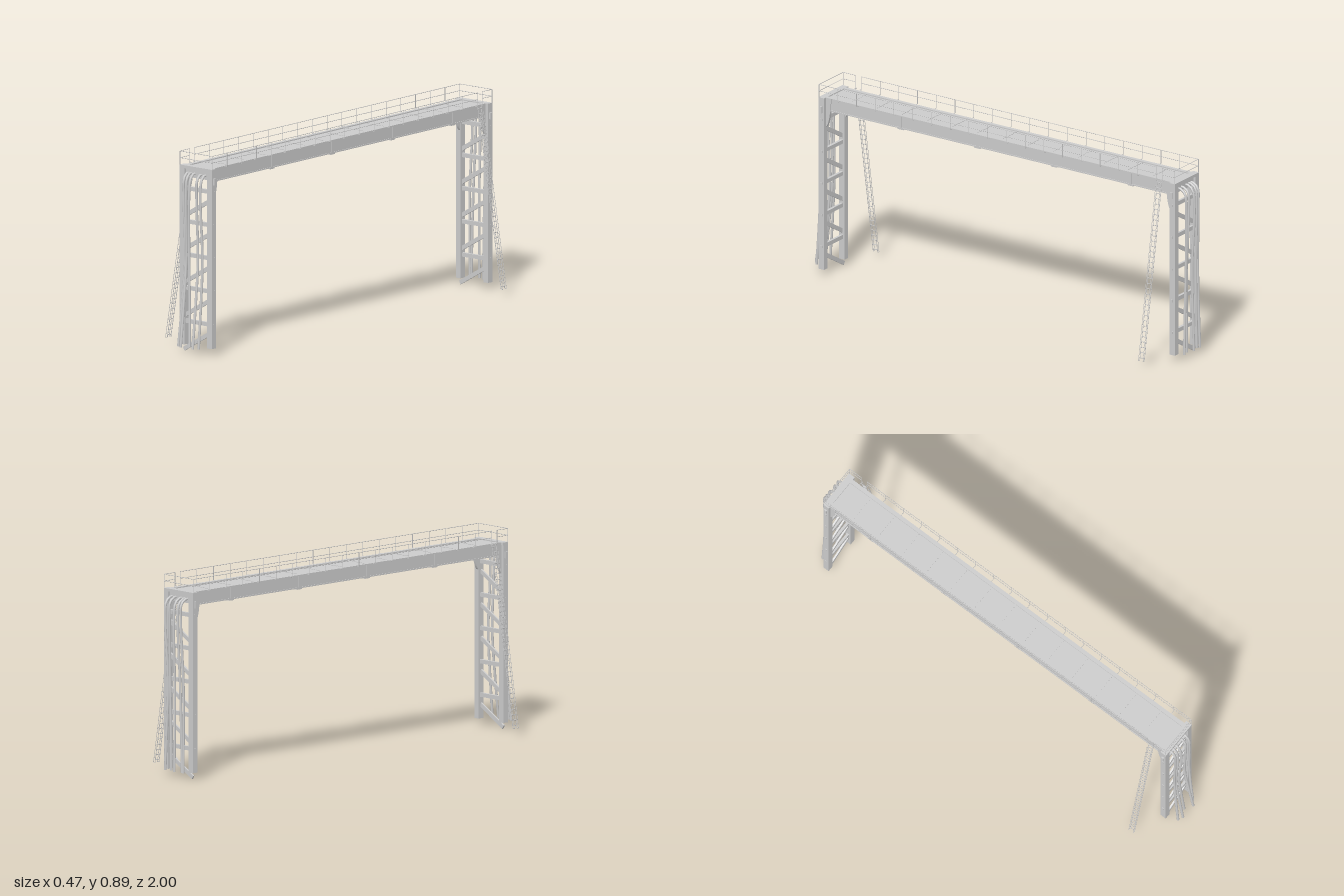
import * as THREE from 'three';

const MAT = new THREE.MeshStandardMaterial({ color: 0xcccccc, side: THREE.DoubleSide });
const C = -0.0125;   // middle of the span in z
const HALF = 0.949;  // half length of the span
const V = (x, y, z) => new THREE.Vector3(x, y, z);

function add(parent, name, geo) {
  const m = new THREE.Mesh(geo, MAT);
  m.name = name;
  parent.add(m);
  return m;
}
function box(parent, name, w, h, d, x, y, z) {
  const m = add(parent, name, new THREE.BoxGeometry(w, h, d));
  m.position.set(x, y, z);
  return m;
}
// round bar between two points
function bar(parent, name, a, b, r, sides = 6) {
  const dir = b.clone().sub(a);
  const m = add(parent, name, new THREE.CylinderGeometry(r, r, dir.length(), sides));
  m.position.copy(a).add(b).multiplyScalar(0.5);
  m.quaternion.setFromUnitVectors(V(0, 1, 0), dir.normalize());
  return m;
}
function group(parent, name) {
  const g = new THREE.Group();
  g.name = name;
  parent.add(g);
  return g;
}

// girders, deck, cross beams and cables under the deck
function buildSpan(root) {
  const span = group(root, 'span');
  const len = HALF * 2 - 0.05;
  for (const sx of [-1, 1]) {
    box(span, 'girderWeb', 0.006, 0.058, len, sx * 0.072, 0.8, C);
    box(span, 'girderTopFlange', 0.018, 0.005, len, sx * 0.069, 0.8275, C);
    box(span, 'girderBottomFlange', 0.018, 0.005, len, sx * 0.069, 0.7725, C);
    for (let i = 0; i < 4; i++) {
      const z = 0.51 - i * 0.408;
      box(span, 'splicePlate', 0.004, 0.05, 0.008, sx * 0.076, 0.8, z);
      box(span, 'spliceFoot', 0.018, 0.005, 0.03, sx * 0.069, 0.768, z);
    }
  }
  box(span, 'deck', 0.134, 0.006, len, 0, 0.822, C);
  for (let i = 0; i < 13; i++) {
    const z = 0.79 - i * 0.134;
    box(span, 'crossBeam', 0.138, 0.036, 0.006, 0, 0.801, z);
    for (let k = -2; k <= 2; k++) box(span, 'deckSeam', 0.018, 0.002, 0.005, k * 0.026, 0.826, z);
    for (let k = 1; k <= 3; k++) box(span, 'trayBar', 0.09, 0.004, 0.005, 0, 0.788, z + k * 0.0335);
  }
  for (const x of [-0.045, -0.018, 0.018, 0.045])
    bar(span, 'deckCable', V(x, 0.796, C - HALF + 0.02), V(x, 0.796, C + HALF - 0.02), 0.005);
}

// portal leg frame at one end; s = 1 front, -1 back
function buildPortal(root, s) {
  const g = group(root, s > 0 ? 'frontPortal' : 'backPortal');
  const Z = d => C + s * d;
  const zc = Z(HALF - 0.0145);
  const gusset = new THREE.Shape();
  gusset.moveTo(0, 0.83);
  gusset.lineTo(0.03, 0.83);
  gusset.lineTo(0.024, 0.77);
  gusset.quadraticCurveTo(0.018, 0.71, 0, 0.69);
  for (const sx of [-1, 1]) {
    box(g, 'column', 0.027, 0.8, 0.029, sx * 0.0785, 0.43, zc);
    const k = add(g, 'kneeGusset', new THREE.ExtrudeGeometry(gusset, { depth: 0.012, bevelEnabled: false }));
    k.rotation.y = s > 0 ? Math.PI / 2 : -Math.PI / 2;
    k.position.set(sx * 0.073 - s * 0.006, 0, Z(HALF - 0.028));
    for (let i = 0; i < 5; i++)
      box(g, 'columnBolt', 0.003, 0.01, 0.01, sx * 0.0925, 0.135 + i * 0.148, zc);
    box(g, 'columnEar', 0.008, 0.03, 0.012, sx * 0.0945, 0.775, zc);
  }
  // head frame with a recessed panel
  box(g, 'headBeam', 0.184, 0.013, 0.03, 0, 0.8235, zc);
  box(g, 'headPanel', 0.13, 0.04, 0.008, 0, 0.798, zc);
  for (let i = 0; i < 5; i++) {
    const y = 0.148 * i;
    box(g, 'rung', 0.14, 0.018, 0.012, 0, 0.135 + y, zc);
    const d = box(g, 'diagonalBrace', 0.166, 0.018, 0.008, -0.0065, 0.0502 + y, zc);
    d.rotation.z = Math.atan(0.583);
  }
}

// loose cables hanging down the outside of a portal
function buildCables(root, s) {
  const g = group(root, s > 0 ? 'frontCables' : 'backCables');
  const Z = d => C + s * d;
  // top x, middle x, bottom x, bottom reach
  const runs = s > 0
    ? [[-0.052, -0.048, -0.062, 0.045], [-0.036, -0.04, -0.04, 0.055], [-0.016, -0.022, -0.006, 0.035],
       [0.022, 0.024, 0.03, 0.057], [0.046, 0.052, 0.05, 0.04]]
    : [[-0.046, -0.054, -0.06, 0.028], [-0.03, -0.036, -0.046, 0.022], [-0.008, -0.004, -0.008, 0.032],
       [0.026, 0.03, 0.026, 0.018], [0.05, 0.04, 0.056, 0.026]];
  runs.forEach(([xt, xm, xb, reach], i) => {
    const out = s > 0 ? 0.018 : 0.026;
    const mid = out + (i % 3) * 0.003;
    const path = new THREE.CatmullRomCurve3([
      V(xt, 0.794, Z(HALF - 0.04)), V(xt, 0.796, Z(HALF)), V(xt, 0.775, Z(HALF + out)),
      V(xt, 0.7, Z(HALF + mid + 0.003)), V(xm, 0.42, Z(HALF + mid * 0.8)),
      V((xm + xb) / 2, 0.22, Z(HALF + (mid + reach) / 2 - 0.004)), V(xb, 0.03, Z(HALF + reach))]);
    add(g, 'cable', new THREE.TubeGeometry(path, 40, 0.0058, 8, false));
  });
}

// sloping ladder at one side; front one on -x, back one on +x
function buildLadder(root, s) {
  const g = group(root, s > 0 ? 'frontLadder' : 'backLadder');
  const z = C + s * 0.866;
  const at = (t, off, dz) => V(-s * (0.092 + 0.135 * t + off), 0.83 - 0.8 * t, z + dz);
  for (const dz of [-0.012, 0.012]) {
    bar(g, 'stringer', at(0, -0.004, dz), at(1, -0.004, dz), 0.0016);
    bar(g, 'handrail', at(0.03, 0.006, dz), at(1, 0.006, dz), 0.0012);
    for (let i = 0; i <= 10; i++)
      bar(g, 'spacer', at(i / 10, -0.004, dz), at(i / 10, 0.006, dz), 0.0012);
  }
  for (let i = 0; i < 34; i++) {
    const t = (i + 0.5) / 34;
    bar(g, 'ladderRung', at(t, -0.003, -0.012), at(t, -0.003, 0.012), 0.0018);
  }
}

// railings along both sides and across both ends, open at the ladders
function buildRailings(root) {
  const g = group(root, 'railings');
  const X = 0.092, END = HALF - 0.002, R = 0.0014;
  const post = (x, z) => {
    bar(g, 'railPost', V(x, 0.828, z), V(x, 0.89, z), R);
    bar(g, 'postBracket', V(x, 0.828, z), V(Math.sign(x) * 0.07, 0.828, z), R);
  };
  for (const s of [-1, 1]) {
    const x = -s * X;
    const Z = d => C + s * d;
    const runs = [[END, 0.882], [0.85, -END]];
    for (const [a, b] of runs) {
      for (const y of [0.86, 0.89]) bar(g, 'sideRail', V(x, y, Z(a)), V(x, y, Z(b)), R);
      const n = Math.max(1, Math.round((a - b) / 0.1));
      for (let i = 0; i <= n; i++) post(x, Z(a + (b - a) * i / n));
    }
    for (const y of [0.86, 0.89]) bar(g, 'endRail', V(-X, y, Z(END)), V(X, y, Z(END)), R);
  }
}

export function createModel() {
  const root = new THREE.Group();
  root.name = 'cableGantry';
  buildSpan(root);
  for (const s of [1, -1]) {
    buildPortal(root, s);
    buildCables(root, s);
    buildLadder(root, s);
  }
  buildRailings(root);
  return root;
}
